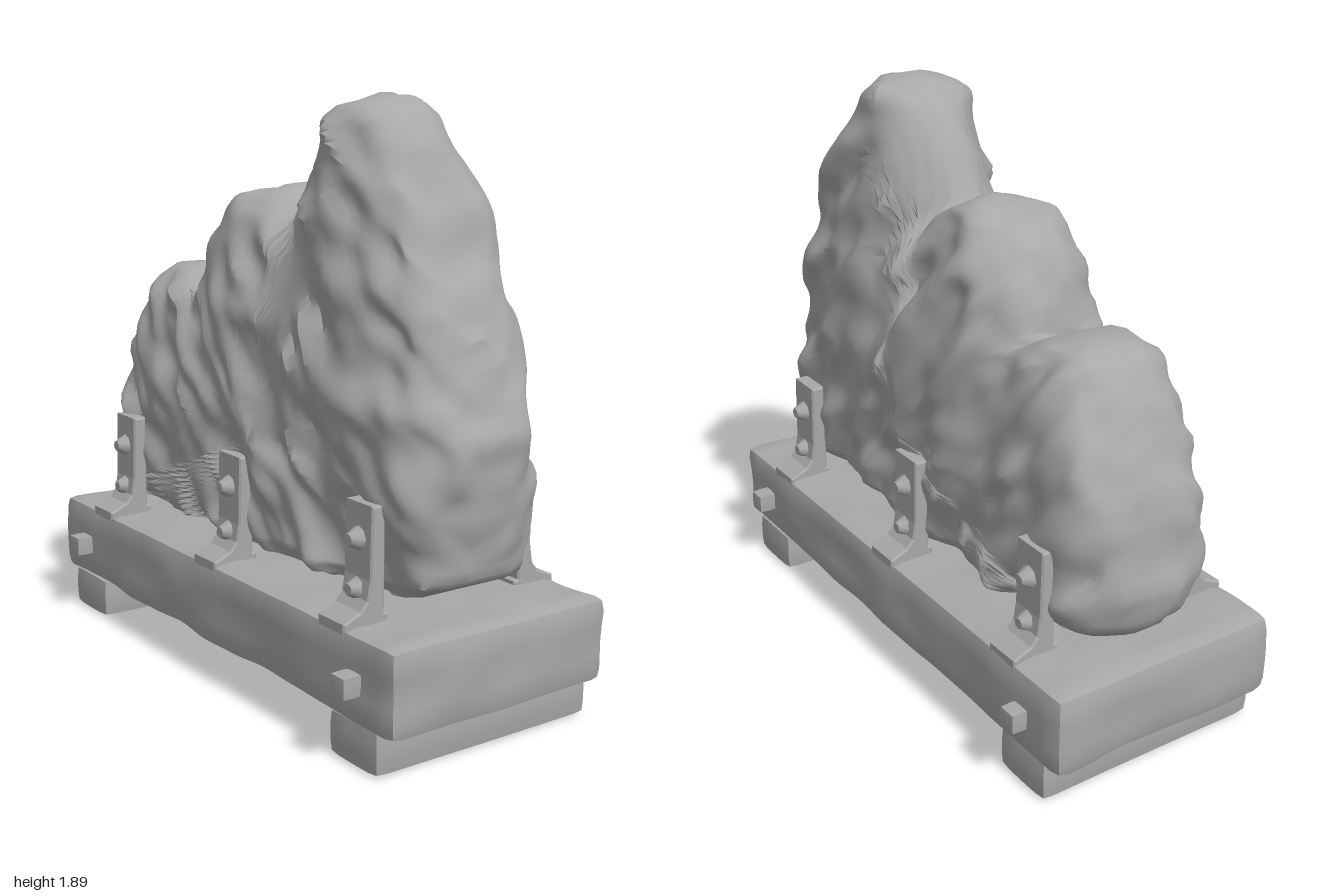
import * as THREE from 'three';
import { mergeVertices, toCreasedNormals } from 'three/addons/utils/BufferGeometryUtils.js';

// Smooth seeded value noise in -1..1
function hash(x, y, z) {
  const s = Math.sin(x * 127.1 + y * 311.7 + z * 74.7) * 43758.5453;
  return (s - Math.floor(s)) * 2 - 1;
}
function noise(x, y, z) {
  const i = [x, y, z].map(Math.floor);
  const [u, v, w] = [x - i[0], y - i[1], z - i[2]].map((t) => t * t * (3 - 2 * t));
  let sum = 0;
  for (let n = 0; n < 8; n++) {
    const a = n & 1, b = (n >> 1) & 1, c = n >> 2;
    sum += hash(i[0] + a, i[1] + b, i[2] + c) * (a ? u : 1 - u) * (b ? v : 1 - v) * (c ? w : 1 - w);
  }
  return sum;
}

// Three peaks as stacked sections: [y, front z, back z, half width];
// taper narrows the upper back of a peak into a ridge
const PEAKS = [
  { taper: 0.5, rows: [
    [0.45, 0.85, 0.2, 0.23], [0.49, 0.905, 0.2, 0.255], [0.7, 0.93, 0.17, 0.265],
    [0.9, 0.945, 0.12, 0.265], [1.2, 0.86, 0.06, 0.26], [1.5, 0.72, 0.07, 0.235],
    [1.65, 0.65, 0.13, 0.21], [1.75, 0.61, 0.19, 0.19], [1.82, 0.56, 0.24, 0.18],
    [1.86, 0.49, 0.3, 0.15], [1.876, 0.44, 0.36, 0.09], [1.88, 0.41, 0.39, 0.02]] },
  { taper: 0.2, rows: [
    [0.435, 0.45, -0.25, 0.23], [0.48, 0.52, -0.3, 0.255], [0.8, 0.46, -0.36, 0.275],
    [1.0, 0.38, -0.42, 0.29], [1.2, 0.32, -0.43, 0.28], [1.4, 0.22, -0.38, 0.225],
    [1.5, 0.13, -0.32, 0.19], [1.56, 0.03, -0.24, 0.155], [1.59, -0.04, -0.17, 0.1],
    [1.6, -0.09, -0.11, 0.02]] },
  { taper: 0, rows: [
    [0.445, 0.1, -0.87, 0.23], [0.49, 0.15, -0.92, 0.255], [0.6, 0.12, -0.96, 0.27],
    [0.9, 0.02, -0.905, 0.275], [1.05, -0.1, -0.85, 0.255], [1.15, -0.25, -0.8, 0.225],
    [1.23, -0.39, -0.745, 0.19], [1.28, -0.48, -0.69, 0.15], [1.297, -0.55, -0.64, 0.09],
    [1.3, -0.59, -0.61, 0.02]] },
];

// Half thickness of one peak at a point of its side view
function peakThickness({ rows, taper }, y, z) {
  const r = rows.findIndex((row) => row[0] > y);
  if (r < 1) return 0;
  const k = (y - rows[r - 1][0]) / (rows[r][0] - rows[r - 1][0]);
  const [, zf, zb, w] = rows[r - 1].map((v, c) => THREE.MathUtils.lerp(v, rows[r][c], k));
  const u = (2 * z - zf - zb) / (zf - zb);
  if (Math.abs(u) >= 1) return 0;
  const tip = rows[rows.length - 1][0];
  const ridge = taper * THREE.MathUtils.smoothstep(y, tip - 0.85, tip - 0.3);
  const e = 0.62 + 0.3 * THREE.MathUtils.smoothstep(y, tip - 0.25, tip);
  return w * (1 - Math.abs(u) ** (2 / e)) ** (e / 2) * (1 - ridge * Math.max(0, -u) ** 2);
}
const thickness = (y, z) =>
  PEAKS.reduce((sum, p) => sum + peakThickness(p, y, z) ** 8, 0) ** (1 / 8);

// One closed rock: rays from the middle of the side view, mirrored in x, with slanted crags
function rockGeometry() {
  const RAYS = 180, RINGS = 36, CY = 0.8, CZ = 0.1;
  const pos = [], idx = [], reach = [];
  for (let i = 0; i < RAYS; i++) {
    const a = (i / RAYS) * Math.PI * 2;
    let r = 0;
    while (thickness(CY + r * Math.sin(a), CZ + r * Math.cos(a)) > 0) r += 0.001;
    reach.push(r - 0.001);
  }
  for (const side of [1, -1]) {
    for (let k = 0; k <= RINGS; k++) {
      const t = Math.sin((k / RINGS) * Math.PI / 2);
      for (let i = 0; i < RAYS; i++) {
        const a = (i / RAYS) * Math.PI * 2;
        const y = CY + t * reach[i] * Math.sin(a), z = CZ + t * reach[i] * Math.cos(a);
        const th = thickness(y, z), x = side * th, s = z + y * 0.6;
        const crag = 0.5 - 2 * Math.abs(noise(x * 3 + 5, y * 3.5, s * 7 + 2));
        const d = 0.03 * noise(x * 4 + 9, y * 4, s * 7) + 0.018 * crag
          + 0.03 * noise(x * 9, y * 9, s * 13 + 4);
        const out = t ** 8 * (0.02 * noise(x * 7, y * 7, z * 7 + 3) + 0.012 * noise(x * 15, y * 15, z * 15));
        pos.push(side * Math.max(0, th + d * Math.min(1, th / 0.2)),
          y + out * Math.sin(a), z + out * Math.cos(a));
      }
    }
  }
  const half = (RINGS + 1) * RAYS, rim = RINGS * RAYS;
  for (let i = 0; i < RAYS; i++) {
    const n = (i + 1) % RAYS;
    for (let k = 0; k < rim; k += RAYS) {
      const a = k + i, b = k + n, c = a + RAYS, d = b + RAYS;
      idx.push(a, b, c, b, d, c);
      idx.push(half + a, half + c, half + b, half + b, half + c, half + d);
    }
    const p = rim + i, q = rim + n;
    idx.push(p, q, half + p, q, half + q, half + p);
  }
  const g = new THREE.BufferGeometry();
  g.setAttribute('position', new THREE.Float32BufferAttribute(pos, 3));
  g.setIndex(idx);
  return toCreasedNormals(g, 0.7);
}

// Softly worn block with rounded edges
function wornBox(w, h, d, r, wear) {
  const n = (s) => Math.max(2, Math.round(s / 0.045));
  let g = new THREE.BoxGeometry(w, h, d, n(w), n(h), n(d));
  g.deleteAttribute('normal');
  g.deleteAttribute('uv');
  g = mergeVertices(g);
  const p = g.attributes.position, v = new THREE.Vector3(), inner = new THREE.Vector3();
  const lim = new THREE.Vector3(w / 2 - r, h / 2 - r, d / 2 - r);
  for (let i = 0; i < p.count; i++) {
    v.fromBufferAttribute(p, i);
    inner.copy(v).clamp(lim.clone().negate(), lim);
    v.sub(inner).setLength(r);
    const f = 1 + (wear / r) * (noise(inner.x * 6, inner.y * 8 + 3, inner.z * 6) - 0.2);
    v.multiplyScalar(f).add(inner);
    p.setXYZ(i, v.x, v.y, v.z);
  }
  return toCreasedNormals(g, 0.9);
}

export function createModel() {
  const model = new THREE.Group();
  const stone = new THREE.MeshStandardMaterial({ color: 0xa8a8a8 });
  stone.name = 'grey stone';
  const add = (name, geometry, x = 0, y = 0, z = 0, parent = model) => {
    const mesh = new THREE.Mesh(geometry, stone);
    mesh.name = name;
    mesh.position.set(x, y, z);
    parent.add(mesh);
  };

  add('rock', rockGeometry());

  // Plinth with a foot under each end
  add('plinth', wornBox(0.825, 0.275, 2, 0.035, 0.009), 0, 0.262, 0);
  for (const s of [1, -1]) {
    add(s > 0 ? 'frontFoot' : 'backFoot', wornBox(0.82, 0.14, 0.23, 0.02, 0.003), 0, 0.07, s * 0.81);
  }

  // Bracket profile: upright plate with a flared base
  const profile = new THREE.Shape([
    [0.25, 0.385], [0.4, 0.385], [0.4, 0.405], [0.34, 0.43], [0.315, 0.46], [0.305, 0.52],
    [0.3, 0.735], [0.265, 0.735], [0.265, 0.415], [0.25, 0.41],
  ].map(([x, y]) => new THREE.Vector2(x, y)));
  const bracketGeo = new THREE.ExtrudeGeometry(profile, {
    depth: 0.12, bevelThickness: 0.006, bevelSize: 0.006, bevelSegments: 1,
  }).translate(0, 0, -0.06);
  const boltGeo = toCreasedNormals(
    new THREE.CylinderGeometry(0.018, 0.045, 0.05, 8).rotateZ(-Math.PI / 2), 1);

  for (const side of [1, -1]) {
    const label = side > 0 ? 'left' : 'right';
    for (const z of [0.7, 0, -0.7]) {
      const bracket = new THREE.Group();
      bracket.name = label + 'Bracket';
      bracket.position.z = z;
      if (side < 0) bracket.rotation.y = Math.PI;
      add('bracketPlate', bracketGeo, 0, 0, 0, bracket);
      for (const y of [0.635, 0.485]) add('bracketBolt', boltGeo, 0.32, y, 0, bracket);
      model.add(bracket);
    }
    // Pegs through the plinth ends
    for (const z of [0.815, -0.815]) {
      add(label + 'Peg', wornBox(0.08, 0.07, 0.07, 0.01, 0.001), side * 0.43, 0.255, z);
    }
  }
  return model;
}
